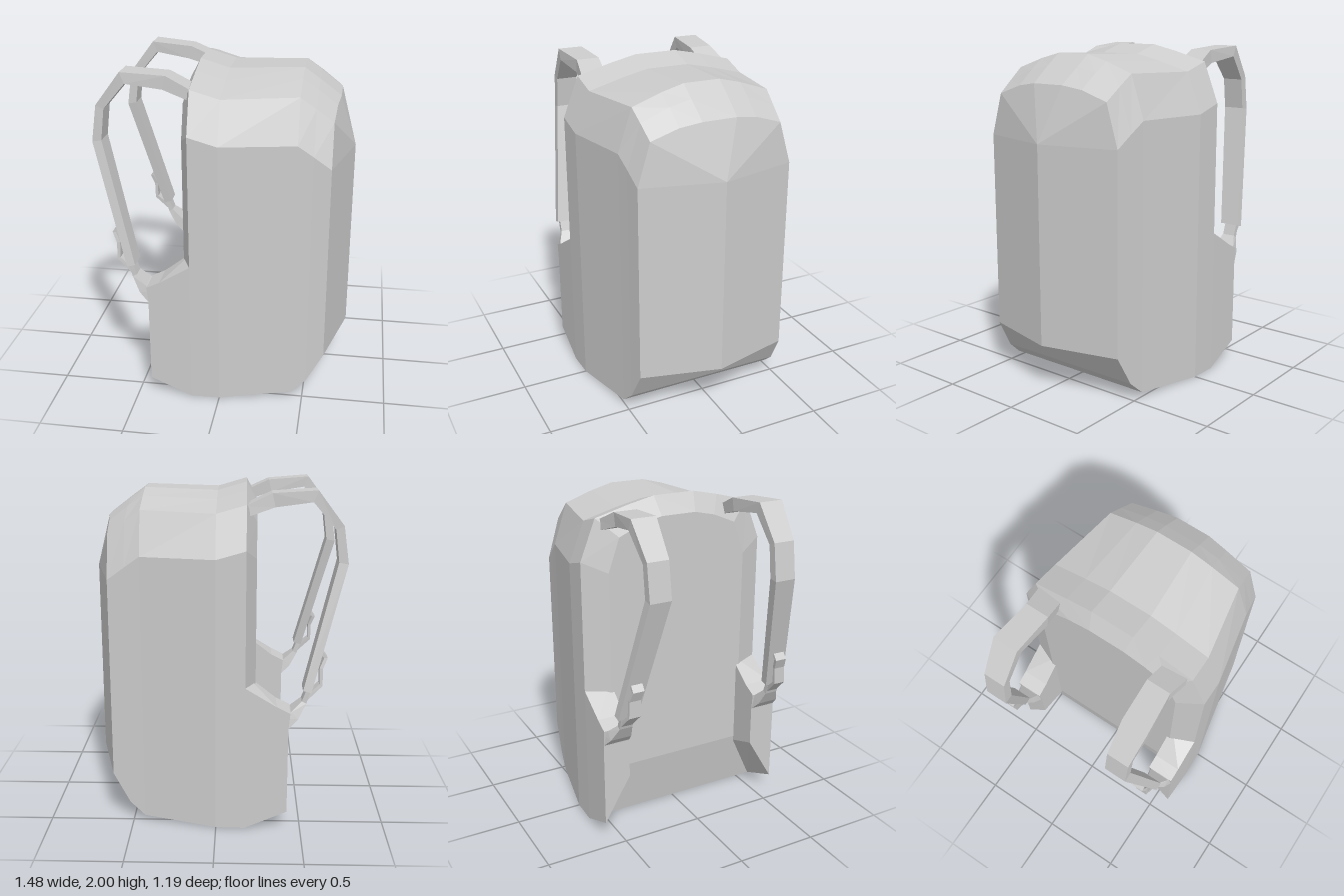
import * as THREE from 'three';

const material = new THREE.MeshStandardMaterial({ color: 0xcccccc, flatShading: true, side: THREE.DoubleSide });

// Solid skinned over a row of matching loops, capped at both ends and turned to face outward
function loft(name, loops) {
  const tris = [];
  const add = (a, b, c) => {
    const area = b.clone().sub(a).cross(c.clone().sub(a)).length();
    if (area > 1e-7) tris.push([a, b, c]);
  };
  const n = loops[0].length;
  for (let i = 0; i < loops.length - 1; i++) {
    for (let j = 0; j < n; j++) {
      const k = (j + 1) % n;
      add(loops[i][j], loops[i][k], loops[i + 1][k]);
      add(loops[i][j], loops[i + 1][k], loops[i + 1][j]);
    }
  }
  const cap = (loop, flip) => {
    const outline = loop.map((p) => new THREE.Vector2(p.x, p.y));
    const flat = loop.every((p) => Math.abs(p.x - loop[0].x) < 1e-6);
    if (flat) outline.forEach((q, i) => q.set(loop[i].z, loop[i].y));
    for (const [a, b, c] of THREE.ShapeUtils.triangulateShape(outline, [])) {
      // Keep the cap winding opposite to the skin's own loop direction
      const ccw = !THREE.ShapeUtils.isClockWise(outline);
      const turn = THREE.ShapeUtils.area([outline[a], outline[b], outline[c]]) > 0;
      const same = turn === ccw;
      if (same !== flip) add(loop[a], loop[c], loop[b]);
      else add(loop[a], loop[b], loop[c]);
    }
  };
  cap(loops[0], false);
  const last = loops[loops.length - 1];
  if (last[0].distanceTo(last[n - 1]) > 1e-6) cap(last, true);
  const volume = tris.reduce((s, [a, b, c]) => s + a.dot(b.clone().cross(c)), 0);
  const points = tris.flatMap(([a, b, c]) => (volume < 0 ? [a, c, b] : [a, b, c]));
  const geometry = new THREE.BufferGeometry().setFromPoints(points);
  geometry.computeVertexNormals();
  const mesh = new THREE.Mesh(geometry, material);
  mesh.name = name;
  return mesh;
}

// Flat band along a path of [x, y, z, width, thickness]; side mirrors it in z
function band(name, path, side) {
  const at = (i) => new THREE.Vector2(path[i][0], path[i][1]);
  const last = path.length - 1;
  const loops = path.map(([x, y, z, w, t], i) => {
    const before = at(Math.min(i, last - 1) === i ? Math.max(i - 1, 0) : last - 1);
    const d = at(Math.min(i + 1, last)).sub(before).normalize();
    const nx = (-d.y * t) / 2, ny = (d.x * t) / 2;
    return [[1, 1], [1, -1], [-1, -1], [-1, 1]].map(([a, b]) =>
      new THREE.Vector3(x + nx * a, y + ny * a, side * (z + (b * w) / 2)));
  });
  return loft(name, loops);
}

// Arched cross-section: half points [z, y, x offset] mirrored over z = 0
function arch(x, half) {
  const right = half.map(([z, y, dx = 0]) => new THREE.Vector3(x + dx, y, z));
  const left = half.map(([z, y, dx = 0]) => new THREE.Vector3(x + dx, y, -z)).reverse();
  return [...right, ...left];
}

export function createModel() {
  const model = new THREE.Group();
  model.name = 'backpack';

  // Bag: back pad, arched shell, and a front folded to a vertical ridge
  model.add(loft('bag', [
    arch(-0.23, [[0.45, 0.35], [0.45, 1.6], [0.38, 1.8], [0.24, 1.86], [0.11, 1.89]]),
    arch(-0.17, [[0.595, 0], [0.595, 1.67], [0.5, 1.91], [0.29, 1.965], [0.13, 2]]),
    arch(0, [[0.59, 0], [0.59, 1.62], [0.495, 1.86], [0.29, 1.915], [0.13, 1.95]]),
    arch(0.43, [[0.505, 0.03], [0.505, 1.62], [0.42, 1.87], [0.245, 1.93], [0.11, 1.965]]),
    arch(0.52, [[0.49, 0.11], [0.49, 1.555], [0.41, 1.805], [0.24, 1.87], [0.11, 1.9]]),
    arch(0.62, [[0.475, 0.29], [0.475, 1.48], [0.4, 1.73], [0.235, 1.785, 0.01], [0.105, 1.805, 0.025]]),
    arch(0.74, [[0, 0.29], [0, 1.48], [0, 1.48], [0, 1.48], [0, 1.48]]),
  ]));

  for (const side of [1, -1]) {
    const group = new THREE.Group();
    group.name = side > 0 ? 'leftHarness' : 'rightHarness';

    // Hip wing reaching back from the side of the bag
    const outline = (z, points) => points.map(([x, y]) => new THREE.Vector3(x, y, side * z));
    group.add(loft('hipWing', [
      outline(0.595, [[-0.17, 0], [-0.42, 0.11], [-0.42, 0.63], [-0.43, 0.73], [-0.35, 0.77], [-0.17, 0.88]]),
      outline(0.43, [[-0.17, 0.3], [-0.42, 0.39], [-0.42, 0.63], [-0.43, 0.73], [-0.35, 0.77], [-0.17, 0.91]]),
    ]));

    // Padded shoulder strap
    group.add(band('shoulderStrap', [
      [-0.17, 1.87, 0.4, 0.15, 0.06],
      [-0.32, 1.93, 0.38, 0.14, 0.08],
      [-0.55, 1.955, 0.4, 0.15, 0.07],
      [-0.69, 1.78, 0.395, 0.13, 0.05],
      [-0.717, 1.58, 0.395, 0.13, 0.055],
      [-0.525, 0.85, 0.5, 0.12, 0.05],
    ], side));

    // Webbing from the strap down to the wing
    group.add(band('lowerWebbing', [
      [-0.54, 0.87, 0.5, 0.08, 0.025],
      [-0.51, 0.78, 0.5, 0.08, 0.03],
      [-0.455, 0.71, 0.51, 0.13, 0.06],
      [-0.4, 0.67, 0.513, 0.16, 0.08],
    ], side));

    // Loose webbing tail behind the adjuster
    group.add(band('webbingTail', [
      [-0.605, 1.07, 0.475, 0.07, 0.02],
      [-0.63, 1.04, 0.475, 0.07, 0.02],
      [-0.605, 0.98, 0.485, 0.07, 0.02],
      [-0.605, 0.88, 0.49, 0.07, 0.02],
      [-0.52, 0.8, 0.5, 0.07, 0.025],
    ], side));
    model.add(group);
  }
  return model;
}
